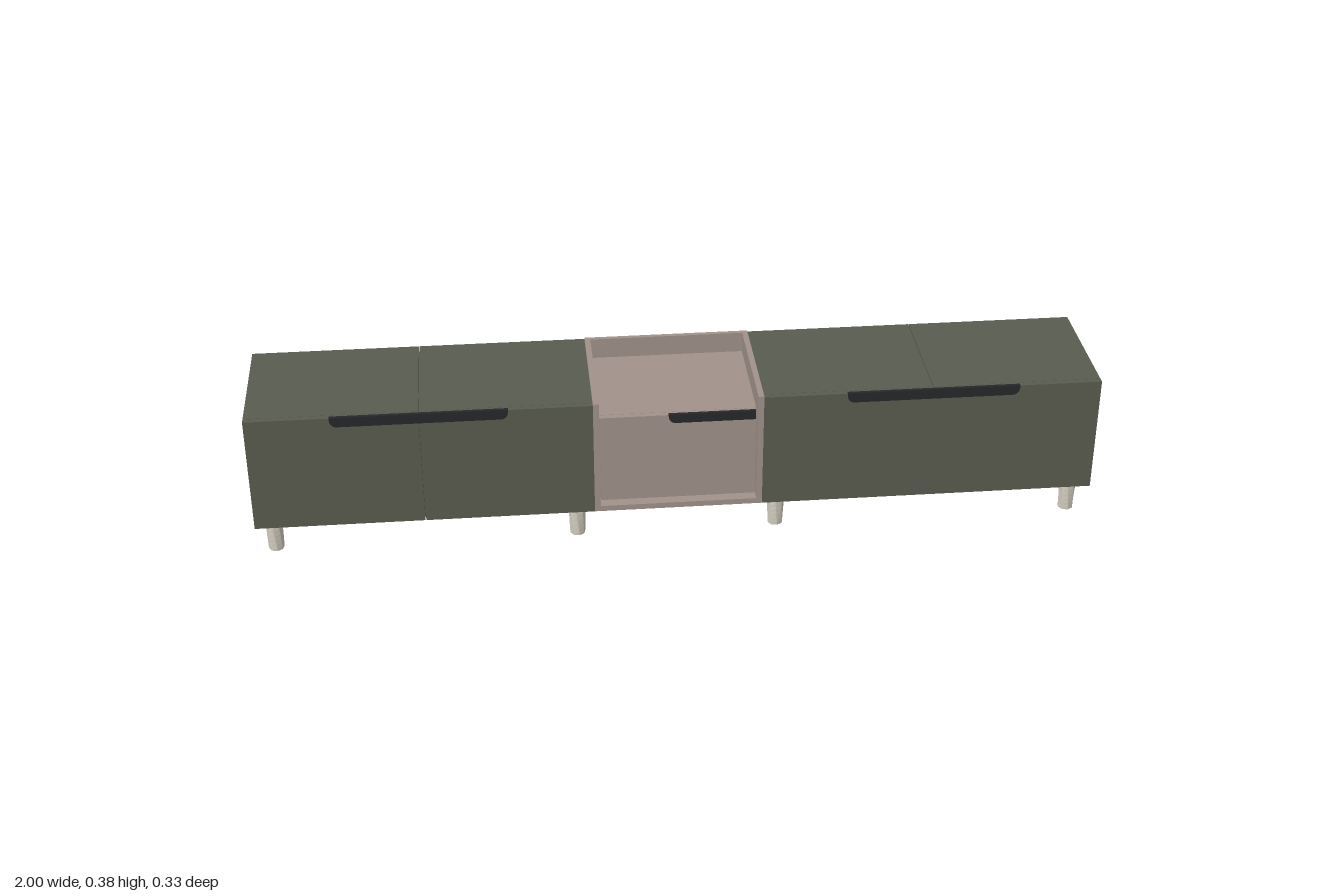
import * as THREE from 'three';

const mat = (name, color) => {
  const m = new THREE.MeshStandardMaterial({ color });
  m.name = name;
  return m;
};

export function createModel() {
  const green = mat('olive green lacquer', 0x595c50);
  const pink = mat('dusty rose lacquer', 0xa1918a);
  const dark = mat('dark grip', 0x25272a);
  const brown = mat('hardboard back', 0xa08768);
  const cream = mat('cream leg', 0xd3cdbf);
  const metal = mat('grey metal', 0x8c8c88);

  const model = new THREE.Group();
  model.name = 'mediaConsole';

  const add = (parent, name, geometry, material) => {
    const mesh = new THREE.Mesh(geometry, material);
    mesh.name = name;
    parent.add(mesh);
    return mesh;
  };
  // Box given by its lower and upper limits on each axis
  const box = (parent, name, material, x0, x1, y0, y1, z0, z1) => {
    const g = new THREE.BoxGeometry(x1 - x0, y1 - y0, z1 - z0);
    g.translate((x0 + x1) / 2, (y0 + y1) / 2, (z0 + z1) / 2);
    return add(parent, name, g, material);
  };
  // Grip plate with rounded lower corners
  const grip = (parent, x0, x1, y0, y1, z0, z1, rightRadius) => {
    const r = 0.018, q = rightRadius;
    const s = new THREE.Shape();
    s.moveTo(x0, y1);
    s.quadraticCurveTo(x0, y0, x0 + r, y0);
    s.lineTo(x1 - q, y0);
    s.quadraticCurveTo(x1, y0, x1, q > 0 ? y1 : y0);
    s.lineTo(x1, y1);
    s.closePath();
    const g = new THREE.ExtrudeGeometry(s, { depth: z1 - z0, bevelEnabled: false, curveSegments: 8 });
    g.translate(0, 0, z0);
    add(parent, 'grip', g, dark);
  };
  // Screw cap on the back
  const screw = (parent, x, y, material) => {
    const g = new THREE.CylinderGeometry(0.005, 0.005, 0.003, 12);
    g.rotateX(Math.PI / 2);
    g.translate(x, y, -0.1635);
    add(parent, 'screwCap', g, material);
  };

  const B = 0.088, T = 0.378, D = 0.163, gap = 0.001, t = 0.014;

  // Side cabinets
  for (const side of [-1, 1]) {
    const cab = new THREE.Group();
    cab.name = side < 0 ? 'rightCabinet' : 'leftCabinet';
    model.add(cab);
    const c = side * 0.6, x0 = c - 0.4, x1 = c + 0.4;

    box(cab, 'bottomPanel', green, x0, x1, B, B + t, -D, D - t - gap);
    box(cab, 'sidePanel', green, x0, x0 + t, B + t, T, -D, D - t - gap);
    box(cab, 'sidePanel', green, x1 - t, x1, B + t, T, -D, D - t - gap);
    box(cab, 'divider', green, c - 0.016, c + 0.016, B + t, T - t, -D, D - t - gap);
    box(cab, 'topPanel', green, x0 + t, c - gap, T - t, T, -D, D - t - gap);
    box(cab, 'topPanel', green, c + gap, x1 - t, T - t, T, -D, D - t - gap);
    box(cab, 'backRail', green, x0 + t, x1 - t, 0.228, T - t - gap, -D, -D + t);
    box(cab, 'backPanel', brown, x0 + t, x1 - t, B + t, 0.232, -D + 0.006, -D + 0.012);

    // Front: a pair of doors on one side, one wide flap on the other
    if (side < 0) {
      box(cab, 'door', green, x0, c - gap, B, T, D - t, D);
      box(cab, 'door', green, c + gap, x1, B, T, D - t, D);
    } else {
      box(cab, 'flapDoor', green, x0, x1, B, T, D - t, D);
    }
    grip(cab, c - 0.205, c + 0.205, 0.354, T + 0.0006, D - 0.008, D + 0.0006, 0.018);

    for (const dx of [-0.375, -0.03, 0.03, 0.375]) screw(cab, c + dx, 0.29, cream);
    // Small joining plates underneath
    for (const z of [-0.06, 0.06])
      for (const dx of [-0.016, 0.016])
        box(cab, 'joiningPlate', metal, c + dx - 0.01, c + dx + 0.01, B - 0.001, B + 0.001, z - 0.002, z + 0.002);
  }

  // Centre unit with an open tray above a recessed drawer
  const mid = new THREE.Group();
  mid.name = 'centreUnit';
  model.add(mid);
  const w = 0.1995, in0 = 0.186, top = 0.381;
  box(mid, 'sidePanel', pink, -w, -in0, B, top, -D, D);
  box(mid, 'sidePanel', pink, in0, w, B, top, -D, D);
  box(mid, 'bottomPanel', pink, -in0, in0, B, 0.102, -D, D);
  box(mid, 'backPanel', pink, -in0, in0, 0.102, top, -D, -D + 0.011);
  box(mid, 'trayShelf', pink, -in0, in0, 0.316, 0.33, -D + 0.011, 0.138 - 0.013);
  box(mid, 'drawerFront', pink, -in0 + 0.002, in0 - 0.002, 0.104, 0.33, 0.126, 0.14);
  grip(mid, -0.022, in0 - 0.002, 0.308, 0.3306, 0.132, 0.1406, 0);
  for (const x of [-0.17, 0.17]) screw(mid, x, 0.18, metal);

  // Faceted legs with a gentle twist
  const legGeometry = new THREE.CylinderGeometry(0.0205, 0.0185, 0.075, 8, 6).toNonIndexed();
  const p = legGeometry.attributes.position;
  for (let i = 0; i < p.count; i++) {
    const a = p.getY(i) * 5, x = p.getX(i), z = p.getZ(i);
    p.setX(i, x * Math.cos(a) - z * Math.sin(a));
    p.setZ(i, x * Math.sin(a) + z * Math.cos(a));
  }
  legGeometry.computeVertexNormals();
  const neckGeometry = new THREE.CylinderGeometry(0.013, 0.013, 0.01, 16);
  const plateGeometry = new THREE.CylinderGeometry(0.032, 0.032, 0.004, 24);
  for (const x of [-0.96, -0.24, 0.24, 0.96]) {
    for (const z of [0.111, -0.12]) {
      const leg = new THREE.Group();
      leg.name = 'leg';
      leg.position.set(x, 0, z);
      model.add(leg);
      add(leg, 'foot', legGeometry, cream).position.y = 0.0375;
      add(leg, 'neck', neckGeometry, cream).position.y = 0.08;
      add(leg, 'mountingPlate', plateGeometry, metal).position.y = 0.0862;
    }
  }
  return model;
}
